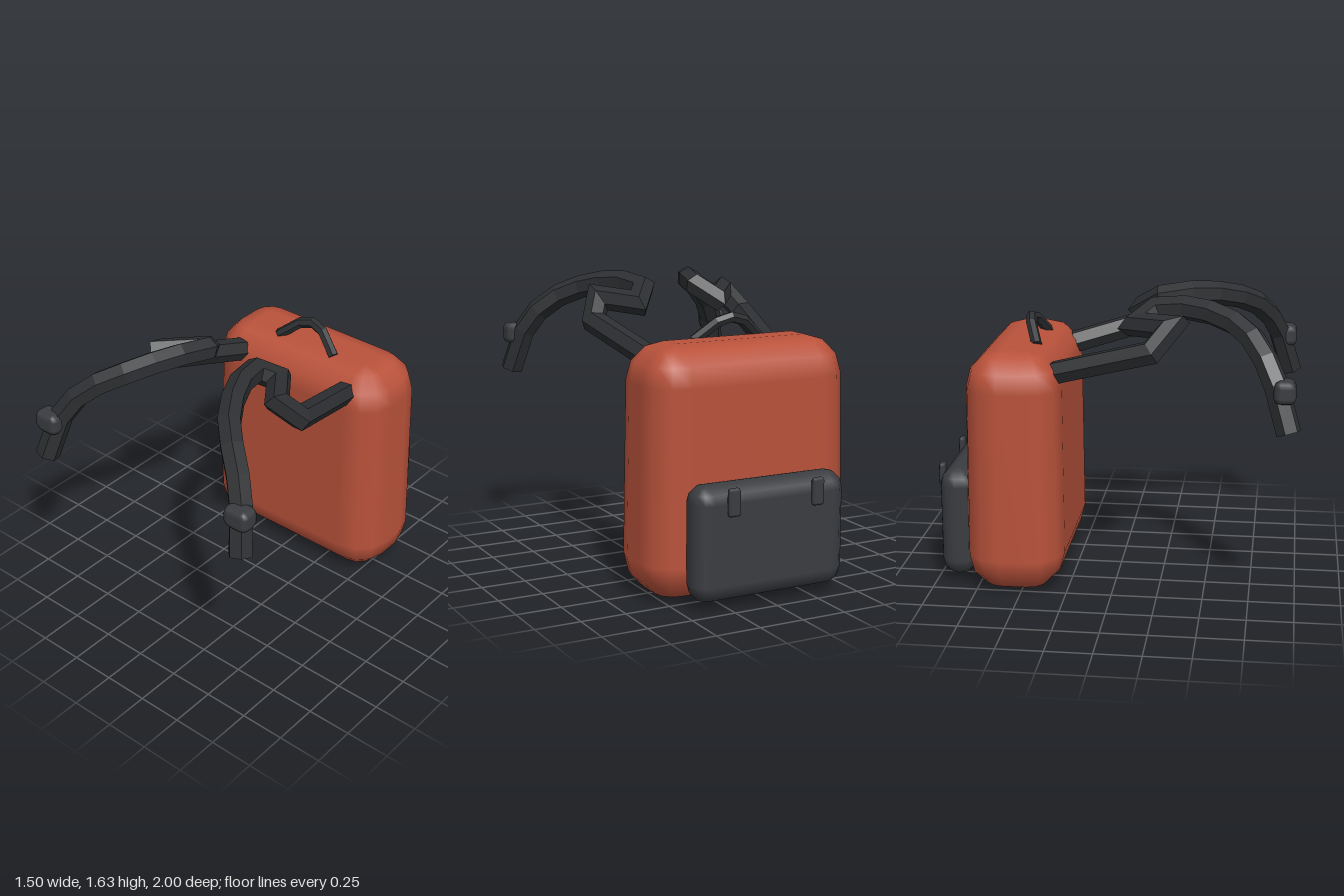
import * as THREE from 'three';

const RED = 0xb9523b, DARK = 0x2d2f32, GREY = 0x3a3c40;

function build(pos, idx, normals) {
  const g = new THREE.BufferGeometry();
  g.setAttribute('position', new THREE.Float32BufferAttribute(pos, 3));
  if (normals) g.setAttribute('normal', new THREE.Float32BufferAttribute(normals, 3));
  g.setIndex(idx);
  if (!normals) g.computeVertexNormals();
  return g;
}

// Block with rounded edges and corners, narrowing towards the top by `taper`
function roundedBlock(w, h, d, r, segs = 3, taper = 0) {
  const pos = [], nor = [], idx = [];
  const n = segs + 1, ring = 4 * n, rings = 2 * n;
  const step = Math.PI / 2 / segs;
  for (let i = 0; i < rings; i++) {
    const upper = i >= n;
    const phi = upper ? (i - n) * step : i * step - Math.PI / 2;
    const y = (upper ? 1 : -1) * (h / 2 - r) + r * Math.sin(phi);
    const s = 1 - taper * (y / h + 0.5);
    for (let j = 0; j < 4; j++) {
      const start = j * Math.PI / 2;
      const sx = Math.sign(Math.cos(start + 0.8)), sz = Math.sign(Math.sin(start + 0.8));
      for (let k = 0; k < n; k++) {
        const nx = Math.cos(phi) * Math.cos(start + k * step);
        const nz = Math.cos(phi) * Math.sin(start + k * step);
        pos.push(s * (sx * (w / 2 - r) + r * nx), y, s * (sz * (d / 2 - r) + r * nz));
        nor.push(nx, Math.sin(phi), nz);
      }
    }
  }
  for (let i = 0; i < rings - 1; i++) {
    for (let k = 0; k < ring; k++) {
      const a = i * ring + k, a2 = i * ring + (k + 1) % ring;
      idx.push(a, a + ring, a2 + ring, a, a2 + ring, a2);
    }
  }
  const t = (rings - 1) * ring;
  idx.push(0, n, 2 * n, 0, 2 * n, 3 * n);
  idx.push(t, t + 2 * n, t + n, t, t + 3 * n, t + 2 * n);
  return build(pos, idx, nor);
}

// Many-sided bar swept along straight pieces with mitred joints and closed ends
function mitredBar(points, radius, sides = 6) {
  const P = points.map(p => new THREE.Vector3(...p));
  const last = P.length - 1;
  const dirs = P.slice(1).map((p, i) => p.clone().sub(P[i]).normalize());
  const u = new THREE.Vector3().crossVectors(dirs[0], new THREE.Vector3(0, 1, 0)).normalize();
  const v = new THREE.Vector3().crossVectors(dirs[0], u);
  let ring = [];
  for (let k = 0; k < sides; k++) {
    const a = (k / sides) * Math.PI * 2;
    ring.push(P[0].clone().addScaledVector(u, radius * Math.cos(a)).addScaledVector(v, radius * Math.sin(a)));
  }
  const pos = [], idx = [];
  ring.forEach(p => pos.push(p.x, p.y, p.z));
  for (let i = 1; i <= last; i++) {
    const d = dirs[i - 1];
    const plane = i < last ? d.clone().add(dirs[i]).normalize() : d;
    ring = ring.map(p => p.clone().addScaledVector(d, P[i].clone().sub(p).dot(plane) / d.dot(plane)));
    ring.forEach(p => pos.push(p.x, p.y, p.z));
    for (let k = 0; k < sides; k++) {
      const a = (i - 1) * sides + k, a2 = (i - 1) * sides + (k + 1) % sides;
      idx.push(a, a2, a2 + sides, a, a2 + sides, a + sides);
    }
  }
  for (let k = 1; k < sides - 1; k++) {
    const e = last * sides;
    idx.push(0, k + 1, k, e, e + k, e + k + 1);
  }
  return build(pos, idx);
}

export function createModel() {
  const model = new THREE.Group();
  model.name = 'backpack';
  const red = new THREE.MeshStandardMaterial({ color: RED });
  const grey = new THREE.MeshStandardMaterial({ color: GREY });
  const darkFlat = new THREE.MeshStandardMaterial({ color: DARK, flatShading: true });

  const add = (name, geometry, material, x = 0, y = 0, z = 0) => {
    const mesh = new THREE.Mesh(geometry, material);
    mesh.name = name;
    mesh.position.set(x, y, z);
    model.add(mesh);
  };

  // Main bag and the pocket behind it
  add('bag', roundedBlock(1.225, 1.345, 0.545, 0.205, 3, 0.045), red, 0, 0.6725, -0.54);
  add('pocket', roundedBlock(0.9, 0.62, 0.2, 0.095, 3), grey, 0, 0.352, -0.87);

  // Carrying handle
  const arc = [[-0.195, 1.33, -0.445], [-0.08, 1.425, -0.492], [0, 1.448, -0.505],
    [0.08, 1.425, -0.492], [0.195, 1.33, -0.445]];
  add('handle', mitredBar(arc, 0.03), darkFlat);

  // Shoulder strap: out from the bag, folded back once, then arching down to its end
  const path = [
    [0.37, 1.22, -0.32], [0.475, 1.37, 0.21], [0.4, 1.49, 0.31], [0.25, 1.47, 0.11],
    [0.17, 1.54, 0.21], [0.21, 1.56, 0.37], [0.275, 1.55, 0.51], [0.36, 1.515, 0.64],
    [0.46, 1.46, 0.735], [0.56, 1.37, 0.81], [0.63, 1.25, 0.87], [0.685, 1.015, 0.94],
  ];
  for (const [side, s] of [['left', 1], ['right', -1]]) {
    add(side + 'Strap', mitredBar(path.map(([x, y, z]) => [s * x, y, z]), 0.066), darkFlat);
    add(side + 'StrapBuckle', roundedBlock(0.15, 0.12, 0.115, 0.035, 2), grey, s * 0.662, 1.232, 0.915);
    add(side + 'PocketClip', roundedBlock(0.07, 0.15, 0.036, 0.016, 2), grey, s * 0.25, 0.578, -0.98);
  }
  return model;
}
